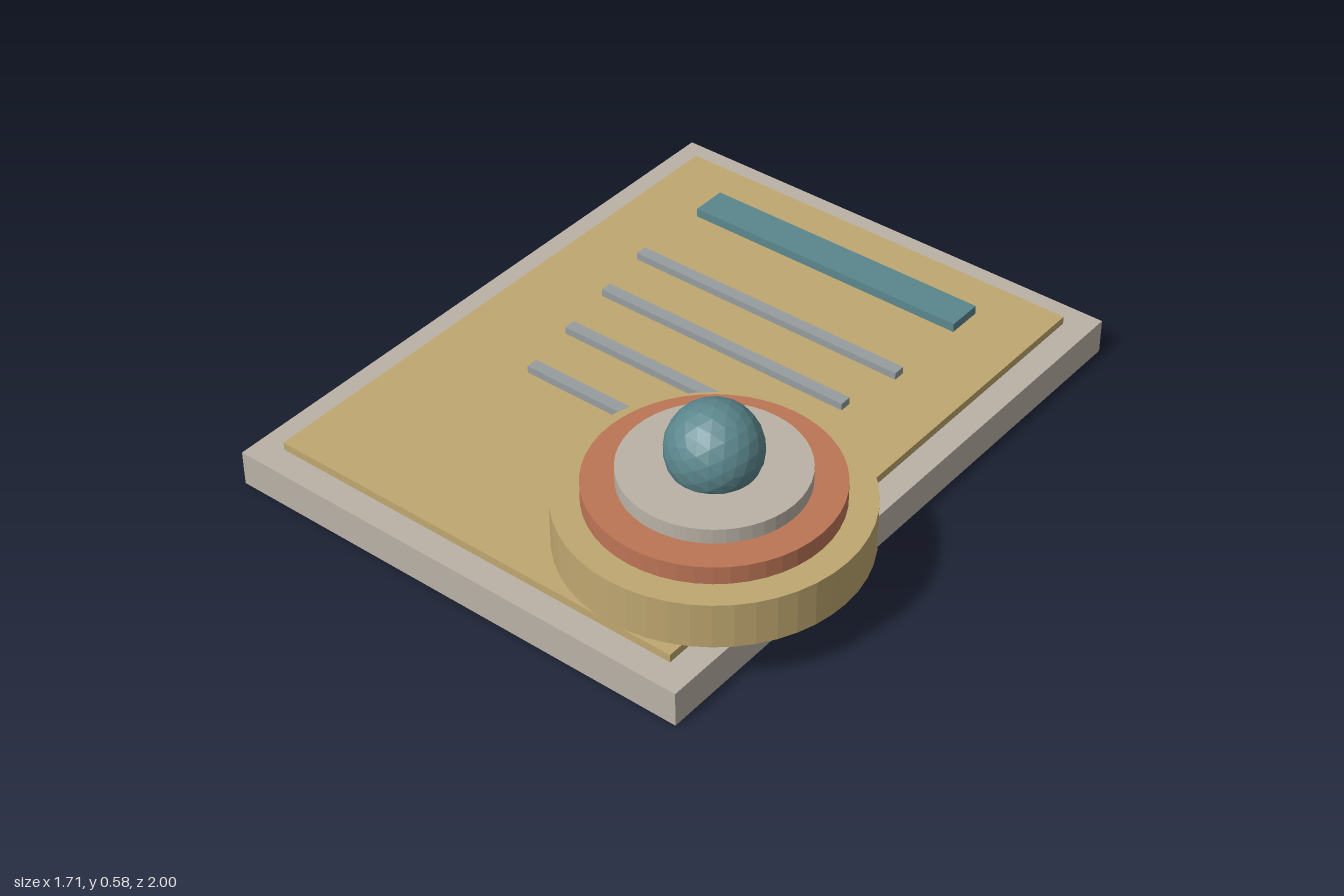
import * as THREE from 'three';

export function createModel() {
  const model = new THREE.Group();
  model.name = 'plaqueWithSeal';

  const material = (name, color) => {
    const m = new THREE.MeshStandardMaterial({ color, flatShading: true });
    m.name = name;
    return m;
  };
  const stone = material('stone', 0xbab2a6);
  const gold = material('gold', 0xbfa770);
  const teal = material('teal', 0x5b878d);
  const copper = material('copper', 0xbd7556);
  const grey = material('grey', 0x979c9f);

  const add = (name, geometry, mat, x, y, z, parent = model) => {
    const mesh = new THREE.Mesh(geometry, mat);
    mesh.name = name;
    mesh.position.set(x, y, z);
    parent.add(mesh);
  };
  // Box given by its limits on each axis
  const slab = (name, mat, x0, x1, y0, y1, z0, z1) =>
    add(name, new THREE.BoxGeometry(x1 - x0, y1 - y0, z1 - z0), mat,
      (x0 + x1) / 2, (y0 + y1) / 2, (z0 + z1) / 2);

  // Base and raised panel
  slab('base', stone, -0.855, 0.688, 0, 0.11, -1, 1);
  slab('panel', gold, -0.772, 0.605, 0.11, 0.135, -0.918, 0.918);

  // Heading bar and four shrinking lines
  slab('headingBar', teal, -0.56, 0.393, 0.135, 0.163, -0.77, -0.656);
  for (let i = 0; i < 4; i++) {
    const half = 0.476 - i * 0.0365;
    const z = -0.385 + i * 0.208;
    slab('line' + (i + 1), grey, -0.084 - half, -0.084 + half, 0.135, 0.158, z - 0.019, z + 0.019);
  }

  // Stepped round seal, held just above the panel
  const seal = new THREE.Group();
  seal.name = 'seal';
  seal.position.set(0.416, 0, 0.497);
  model.add(seal);
  [
    ['sealRim', gold, 0.435, 0.15, 0.292],
    ['sealRing', copper, 0.354, 0.292, 0.348],
    ['sealCap', stone, 0.262, 0.348, 0.394],
  ].forEach(([name, mat, r, y0, y1]) =>
    add(name, new THREE.CylinderGeometry(r, r, y1 - y0, 48), mat, 0, (y0 + y1) / 2, 0, seal));
  add('knob', new THREE.IcosahedronGeometry(0.135, 3), teal, 0, 0.449, 0, seal);

  return model;
}
